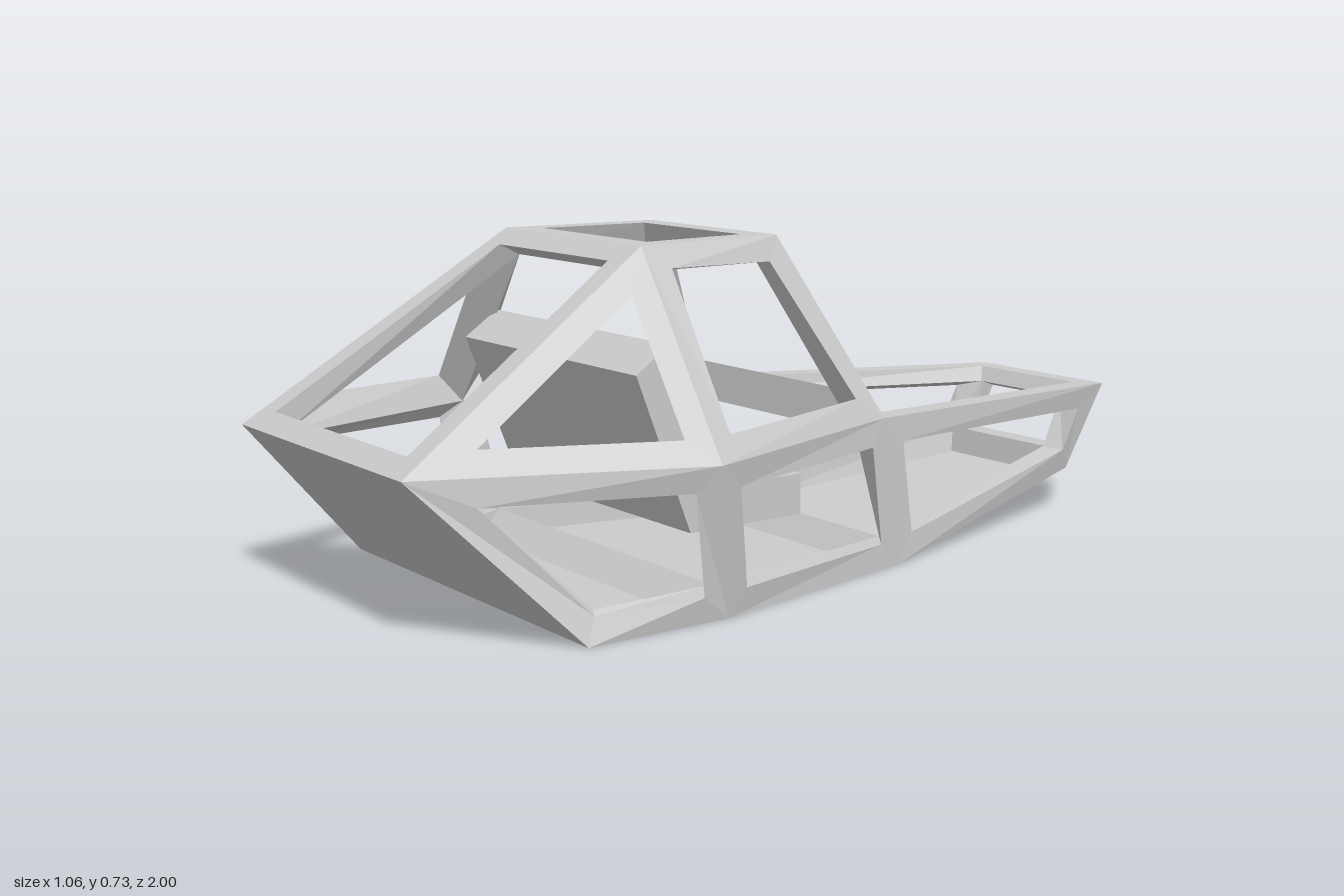
import * as THREE from 'three';

const TUBE = 0.056;

// Corners of the left half (+x); a trailing ' in a face means the mirrored corner
const CORNERS = {
  A: [0.35, 0.34, 1.0],    // nose top
  B: [0.47, 0, 0.68],      // nose bottom
  C: [0.53, 0.325, 0.41],  // widest side joint
  D: [0.47, 0, 0.35],      // floor below the side joint
  E: [0.26, 0.725, 0.41],  // roof, nose end
  F: [0.23, 0.725, 0.045], // roof, tail end
  G: [0.36, 0.33, -0.15],  // waist joint
  H: [0.36, 0, -0.2],      // floor below the waist
  I: [0.205, 0.3, -1.0],   // tail top
  J: [0.195, 0.1, -0.89],  // tail bottom
};

// [name, corner loop, filled]
const CENTRE_FACES = [
  ['nosePanel', "A A' B' B", true],
  ['windscreenFrame', "A A' E' E", false],
  ['roofFrame', "E E' F' F", false],
  ['rearWindowFrame', "F F' G' G", false],
  ['tailDeckFrame', "G G' I' I", false],
  ['tailEndFrame', "I I' J' J", false],
  ['frontFloor', "B B' D' D", true],
  ['middleFloor', "D D' H' H", true],
  ['tailFloor', "H H' J' J", true],
];
const SIDE_FACES = [
  ['noseSideFrame', 'A B D C'],
  ['lowerSideFrame', 'C D H G'],
  ['tailSideFrame', 'G H J I'],
  ['quarterFrame', 'A C E'],
  ['upperSideFrame', 'E C G F'],
];

function cornerPoint(key) {
  const p = new THREE.Vector3(...CORNERS[key[0]]);
  if (key.endsWith("'")) p.x *= -1;
  return p;
}

// Area normal of a loop of points
function loopNormal(points) {
  const n = new THREE.Vector3();
  points.forEach((p, i) => n.add(p.clone().cross(points[(i + 1) % points.length])));
  return n.normalize();
}

// Build a face record whose corners run counter-clockwise seen from outside
function makeFace(name, keys, filled) {
  let points = keys.map(cornerPoint);
  let normal = loopNormal(points);
  const middle = points.reduce((s, p) => s.add(p), new THREE.Vector3()).divideScalar(points.length);
  if (normal.dot(middle.sub(new THREE.Vector3(0, 0.25, 0.1))) < 0) {
    keys = [...keys].reverse();
    points = points.reverse();
    normal = normal.negate();
  }
  // Inset each corner so that the border has an even width
  const count = points.length;
  const inset = points.map((p, i) => {
    const a = points[(i + 1) % count].clone().sub(p).normalize();
    const b = points[(i + count - 1) % count].clone().sub(p).normalize();
    const sine = a.clone().cross(b).length();
    return p.clone().addScaledVector(a.add(b), TUBE / sine);
  });
  return { name, keys, points, inset, normal, filled };
}

function meshFrom(name, positions, material) {
  const geometry = new THREE.BufferGeometry();
  geometry.setAttribute('position', new THREE.Float32BufferAttribute(positions, 3));
  geometry.computeVertexNormals();
  const mesh = new THREE.Mesh(geometry, material);
  mesh.name = name;
  return mesh;
}

function addQuad(out, a, b, c, d) {
  for (const p of [a, b, c, a, c, d]) out.push(p.x, p.y, p.z);
}

export function createModel() {
  const model = new THREE.Group();
  model.name = 'buggyFrame';
  const material = new THREE.MeshStandardMaterial({
    color: 0xcccccc, flatShading: true, side: THREE.DoubleSide,
  });

  const faces = CENTRE_FACES.map(([name, loop, filled]) => makeFace(name, loop.split(' '), filled));
  for (const [name, loop] of SIDE_FACES) {
    const keys = loop.split(' ');
    faces.push(makeFace(name + 'Left', keys, false));
    faces.push(makeFace(name + 'Right', keys.map((k) => k + "'"), false));
  }

  // Inner corner of the tubes at every joint
  const inner = {};
  for (const key of Object.keys(CORNERS).flatMap((k) => [k, k + "'"])) {
    const normals = faces.filter((f) => f.keys.includes(key)).map((f) => f.normal);
    const mean = normals.reduce((s, n) => s.add(n), new THREE.Vector3()).normalize();
    const slope = normals.reduce((s, n) => s + n.dot(mean), 0) / normals.length;
    inner[key] = cornerPoint(key).addScaledVector(mean, -TUBE / slope);
  }

  // Tubes: outer border of each opening plus the walls that run inwards
  for (const { name, keys, points, inset, filled } of faces) {
    const border = [];
    points.forEach((p, i) => {
      const j = (i + 1) % points.length;
      addQuad(border, p, points[j], inset[j], inset[i]);
      addQuad(border, inset[i], inset[j], inner[keys[j]], inner[keys[i]]);
    });
    const part = new THREE.Group();
    part.name = name;
    part.add(meshFrom(name + 'Tubes', border, material));
    // Sheet closing the filled openings
    if (filled) {
      const sheet = [];
      addQuad(sheet, ...inset);
      part.add(meshFrom(name + 'Sheet', sheet, material));
    }
    model.add(part);
  }

  // Bench seat: side profile in (z, y), extruded across the width
  const profile = new THREE.Shape([
    [0.06, 0.145], [0.345, 0.145], [0.475, 0.48], [0.395, 0.535], [0.29, 0.232], [0.06, 0.232],
  ].map(([z, y]) => new THREE.Vector2(-z, y)));
  const seatGeometry = new THREE.ExtrudeGeometry(profile, { depth: 0.67, bevelEnabled: false });
  seatGeometry.translate(0, 0, -0.335);
  seatGeometry.rotateY(Math.PI / 2);
  const seat = new THREE.Mesh(seatGeometry, material);
  seat.name = 'benchSeat';
  model.add(seat);

  return model;
}
